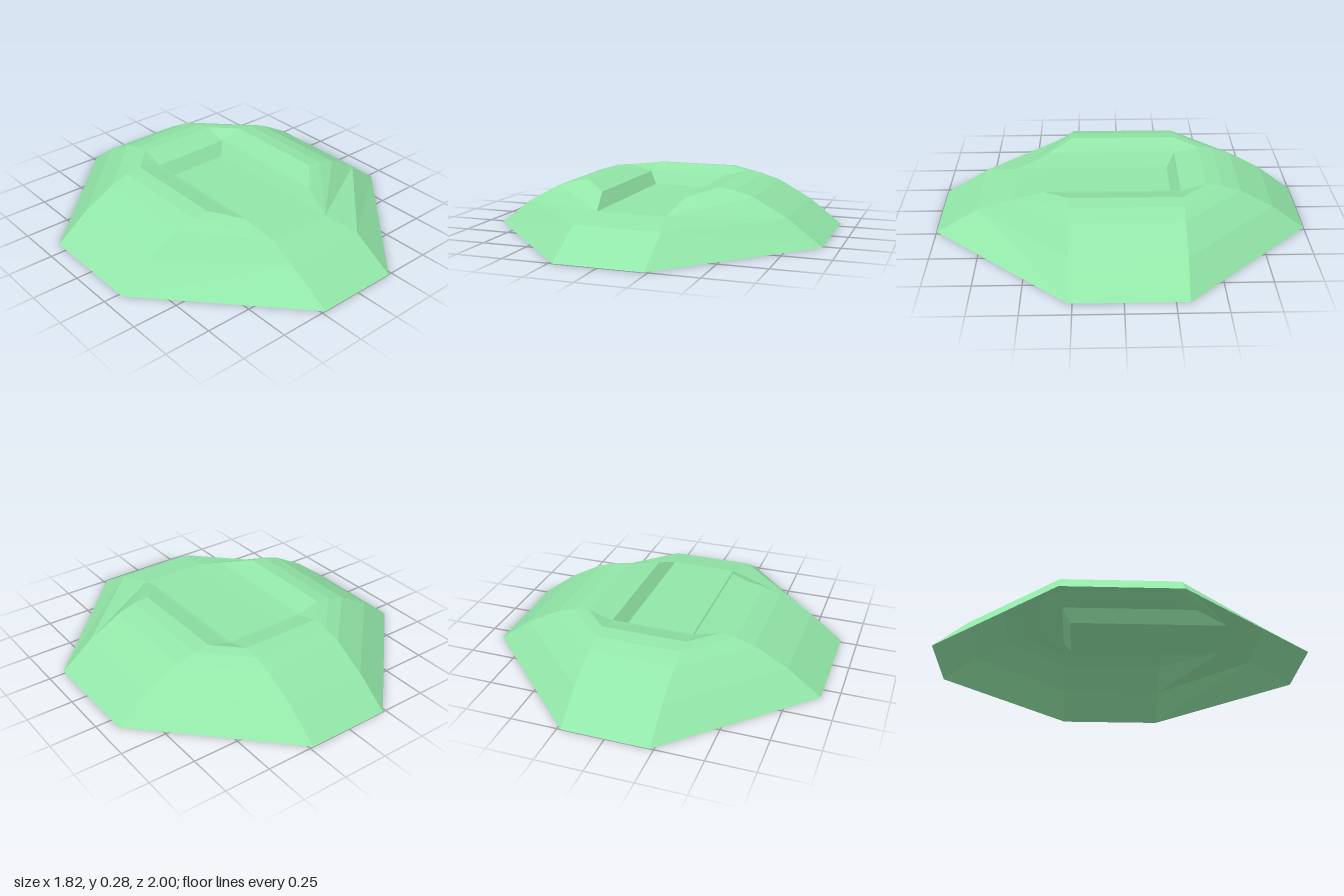
import * as THREE from 'three';

const material = new THREE.MeshStandardMaterial({ color: 0x92e6a8, flatShading: true, side: THREE.DoubleSide });

// Builds a mesh from quads on the +x side, mirrored to -x; collapsed triangles are skipped
function mirroredMesh(name, quads) {
  const pos = [];
  const same = (a, b) => a.every((v, i) => Math.abs(v - b[i]) < 1e-6);
  const flip = ([x, y, z]) => [-x, y, z];
  const tri = (a, b, c) => {
    if (same(a, b) || same(b, c) || same(a, c)) return;
    pos.push(...a, ...b, ...c, ...flip(a), ...flip(c), ...flip(b));
  };
  for (const [a, b, c, d] of quads) {
    tri(a, b, c);
    tri(a, c, d);
  }
  const geometry = new THREE.BufferGeometry();
  geometry.setAttribute('position', new THREE.Float32BufferAttribute(pos, 3));
  geometry.computeVertexNormals();
  const mesh = new THREE.Mesh(geometry, material);
  mesh.name = name;
  return mesh;
}

// Quads between consecutive rings, running from the back centre to the front corner
function bands(rings) {
  const quads = [];
  for (let i = 0; i + 1 < rings.length; i++) {
    const outer = rings[i], inner = rings[i + 1];
    for (let j = 0; j + 1 < outer.length; j++) {
      quads.push([outer[j], inner[j], inner[j + 1], outer[j + 1]]);
    }
  }
  return quads;
}

export function createModel() {
  const group = new THREE.Group();
  group.name = 'moundWithRamp';

  // Half width and z limits of the straight runs
  const W = 0.23, BACK = -0.32, FRONT = 0.27;
  const rampFoot = [0.185, 0.17, 0.58];
  const rimEnd = [W, 0.24, 0.41];

  // Rings: distance outside the trench rim, height, front corner
  const profile = [
    [0.68, 0, [W, 0, 1]],
    [0.5, 0.137, [W, 0.137, 0.77]],
    [0.32, 0.235, rampFoot],
    [0.22, 0.265, rampFoot],
    [0.135, 0.275, rimEnd],
    [0.025, 0.245, rimEnd],
    [0, 0.24, rimEnd],
  ];
  const rings = profile.map(([d, y, corner]) => [
    [0, y, BACK - d], [W, y, BACK - d], [W + d, y, BACK], [W + d, y, FRONT], corner,
  ]);

  // Sunken floor outline
  const [fx, fy, fz] = rampFoot;
  const floorBack = [fx, fy, -0.275];
  const floorRing = [[0, fy, -0.275], floorBack, floorBack, [fx, fy, FRONT], rampFoot];

  group.add(mirroredMesh('moundSlopes', bands(rings)));
  group.add(mirroredMesh('trenchWalls', bands([rings[6], floorRing])));
  group.add(mirroredMesh('trenchFloor', [[floorBack, [0, fy, -0.275], [0, fy, fz], rampFoot]]));

  // Front slope and ramp leading up to the floor
  const edge = [profile[0][2], profile[1][2], rampFoot];
  const ramp = [];
  for (let i = 0; i < 2; i++) {
    const a = edge[i], b = edge[i + 1];
    ramp.push([a, b, [0, b[1], b[2]], [0, a[1], a[2]]]);
  }
  group.add(mirroredMesh('frontRamp', ramp));

  return group;
}
